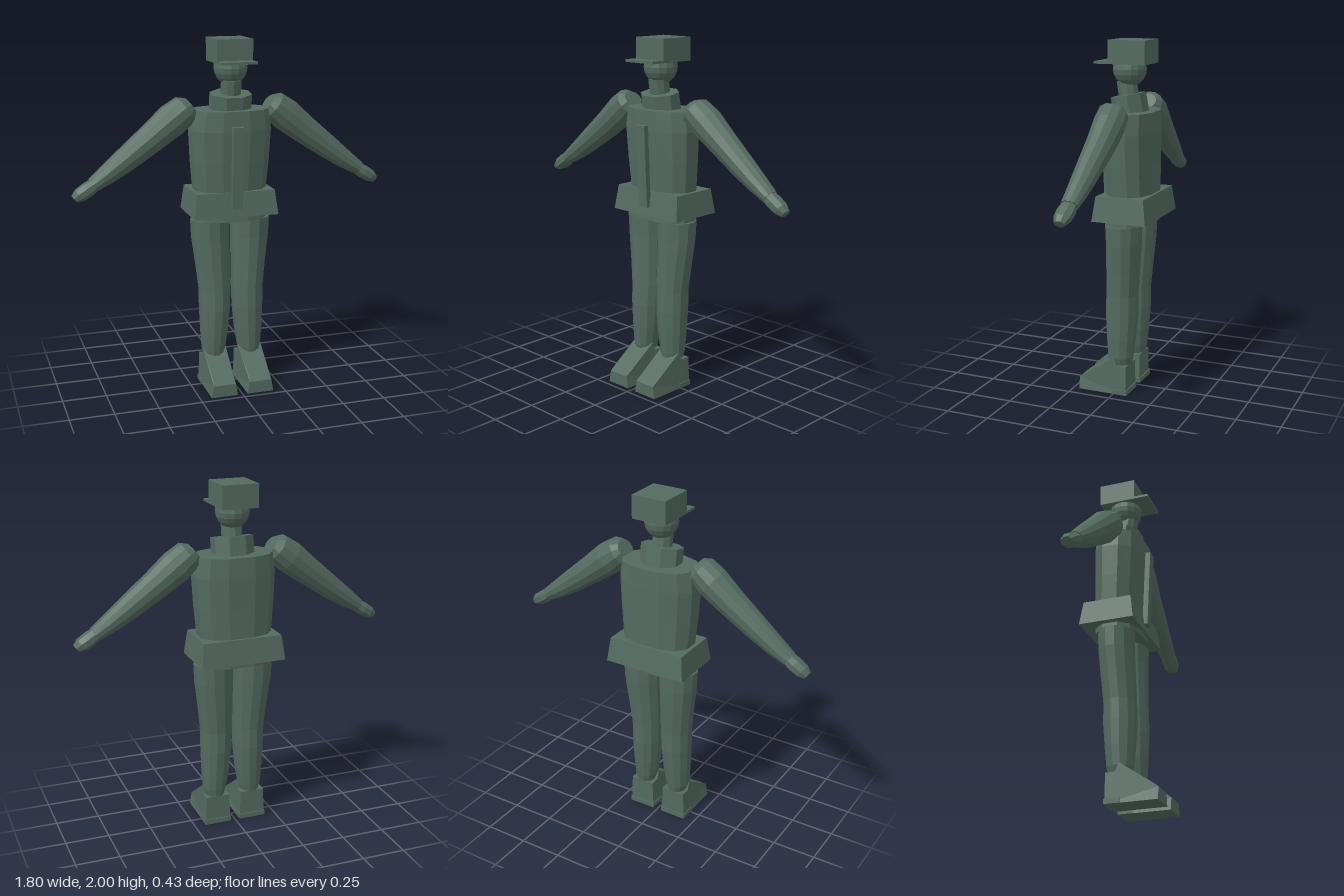
import * as THREE from 'three';

// Closed loft along direction d; rings are [x, y, z, halfWidth, halfDepth]
function loft(rings, d, sides = 12, power = 1) {
  const v = new THREE.Vector3(0, 0, 1);
  const u = new THREE.Vector3().crossVectors(v, d);
  const bend = (t) => Math.sign(t) * Math.pow(Math.abs(t), power);
  const pos = [], index = [];
  for (const [x, y, z, w, h] of rings) {
    for (let j = 0; j < sides; j++) {
      const a = ((j + 0.5) / sides) * Math.PI * 2;
      const p = new THREE.Vector3(x, y, z)
        .addScaledVector(u, w * bend(Math.cos(a)))
        .addScaledVector(v, h * bend(Math.sin(a)));
      pos.push(p.x, p.y, p.z);
    }
  }
  for (let i = 0; i < rings.length - 1; i++) {
    for (let j = 0; j < sides; j++) {
      const k = (j + 1) % sides;
      const a = i * sides + j, b = i * sides + k;
      index.push(a, b, a + sides, b, b + sides, a + sides);
    }
  }
  const last = (rings.length - 1) * sides;
  for (let j = 1; j < sides - 1; j++) {
    index.push(0, j + 1, j, last, last + j, last + j + 1);
  }
  const g = new THREE.BufferGeometry();
  g.setAttribute('position', new THREE.Float32BufferAttribute(pos, 3));
  g.setIndex(index);
  const flat = g.toNonIndexed();
  flat.computeVertexNormals();
  return flat;
}

// Boot: side profile extruded across, narrowed toward the toe and the top
function bootGeometry() {
  const width = 0.155;
  const profile = [[-0.075, 0], [0.215, 0], [0.215, 0.07], [0.19, 0.09], [0, 0.22], [-0.02, 0.17], [-0.075, 0.17]];
  const shape = new THREE.Shape(profile.map(([z, y]) => new THREE.Vector2(z, y)));
  const g = new THREE.ExtrudeGeometry(shape, { depth: width, bevelEnabled: false });
  g.rotateY(-Math.PI / 2).translate(width / 2, 0, 0);
  const p = g.attributes.position;
  for (let i = 0; i < p.count; i++) {
    const toe = p.getZ(i) > 0.15 ? p.getY(i) * 1.8 : 0;
    p.setX(i, p.getX(i) * (1 - 0.5 * p.getY(i) - toe));
  }
  g.computeVertexNormals();
  return g;
}

export function createModel() {
  const model = new THREE.Group();
  model.name = 'figure';
  const green = new THREE.MeshStandardMaterial({ color: 0x546b60, flatShading: true });
  green.name = 'uniformGreen';

  const add = (name, geometry, x = 0, y = 0, z = 0, tilt = 0) => {
    const mesh = new THREE.Mesh(geometry, green);
    mesh.name = name;
    mesh.position.set(x, y, z);
    mesh.rotation.x = tilt;
    model.add(mesh);
    return mesh;
  };
  const down = new THREE.Vector3(0, -1, 0);

  // Cap and head
  add('capCrown', new THREE.BoxGeometry(0.206, 0.13, 0.215), 0, 1.935, -0.046);
  add('capVisor', new THREE.BoxGeometry(0.206, 0.014, 0.1), 0, 1.877, 0.095);
  add('head', new THREE.SphereGeometry(0.095, 14, 10), 0, 1.84, -0.026);
  add('neck', new THREE.CylinderGeometry(0.057, 0.057, 0.14, 10), 0, 1.71, -0.018, 0.15);
  add('collar', loft([[0, 0.05, 0, 0.122, 0.095], [0, -0.06, 0, 0.122, 0.095]], down, 8), 0, 1.65, -0.026, 0.18);

  // Coat body
  add('torso', loft([
    [0, 1.612, -0.04, 0.22, 0.142],
    [0, 1.5, -0.04, 0.235, 0.145],
    [0, 1.32, -0.045, 0.226, 0.138],
    [0, 1.16, -0.052, 0.212, 0.132],
    [0, 0.99, -0.046, 0.214, 0.136],
  ], down, 12, 0.82));
  add('frontPlacket', new THREE.BoxGeometry(0.06, 0.46, 0.03), 0, 1.3, 0.11, 0.045);

  // Flared rectangular coat hem
  const hem = new THREE.BoxGeometry(0.49, 0.14, 0.317);
  const hp = hem.attributes.position;
  for (let i = 0; i < hp.count; i++) {
    if (hp.getY(i) > 0) {
      hp.setX(i, hp.getX(i) * 0.93);
      hp.setZ(i, hp.getZ(i) * 0.88);
    }
  }
  hem.computeVertexNormals();
  add('coatHem', hem, 0, 1.09, -0.056);

  for (const s of [1, -1]) {
    const side = s > 0 ? 'left' : 'right';

    // Arm tapering from shoulder to cuff
    const d = new THREE.Vector3(s * 0.79, -0.61, 0).normalize();
    add(side + 'Arm', loft([
      [s * 0.226, 1.64, -0.035, 0.05, 0.06],
      [s * 0.255, 1.62, -0.036, 0.084, 0.084],
      [s * 0.33, 1.562, -0.04, 0.094, 0.088],
      [s * 0.44, 1.475, -0.038, 0.083, 0.078],
      [s * 0.6, 1.355, -0.032, 0.068, 0.066],
      [s * 0.7, 1.283, -0.028, 0.055, 0.057],
      [s * 0.78, 1.23, -0.024, 0.041, 0.048],
    ], d));

    // Mitten-like hand
    add(side + 'Hand', loft([
      [s * 0.755, 1.245, -0.023, 0.035, 0.04],
      [s * 0.81, 1.208, -0.022, 0.042, 0.05],
      [s * 0.855, 1.18, -0.021, 0.039, 0.046],
      [s * 0.885, 1.16, -0.02, 0.024, 0.03],
    ], d, 8));

    // Trouser leg
    add(side + 'Leg', loft([
      [s * 0.118, 0.99, -0.038, 0.114, 0.104],
      [s * 0.116, 0.88, -0.038, 0.111, 0.1],
      [s * 0.106, 0.72, -0.03, 0.1, 0.096],
      [s * 0.098, 0.58, -0.022, 0.093, 0.092],
      [s * 0.099, 0.46, -0.02, 0.09, 0.094],
      [s * 0.103, 0.32, -0.018, 0.081, 0.084],
      [s * 0.108, 0.21, -0.016, 0.068, 0.074],
      [s * 0.108, 0.17, -0.016, 0.055, 0.066],
    ], down));

    // Boot and heel
    add(side + 'Boot', bootGeometry(), s * 0.107, 0, 0);
    add(side + 'Heel', new THREE.BoxGeometry(0.16, 0.028, 0.09), s * 0.107, 0.014, -0.037);
  }
  return model;
}
